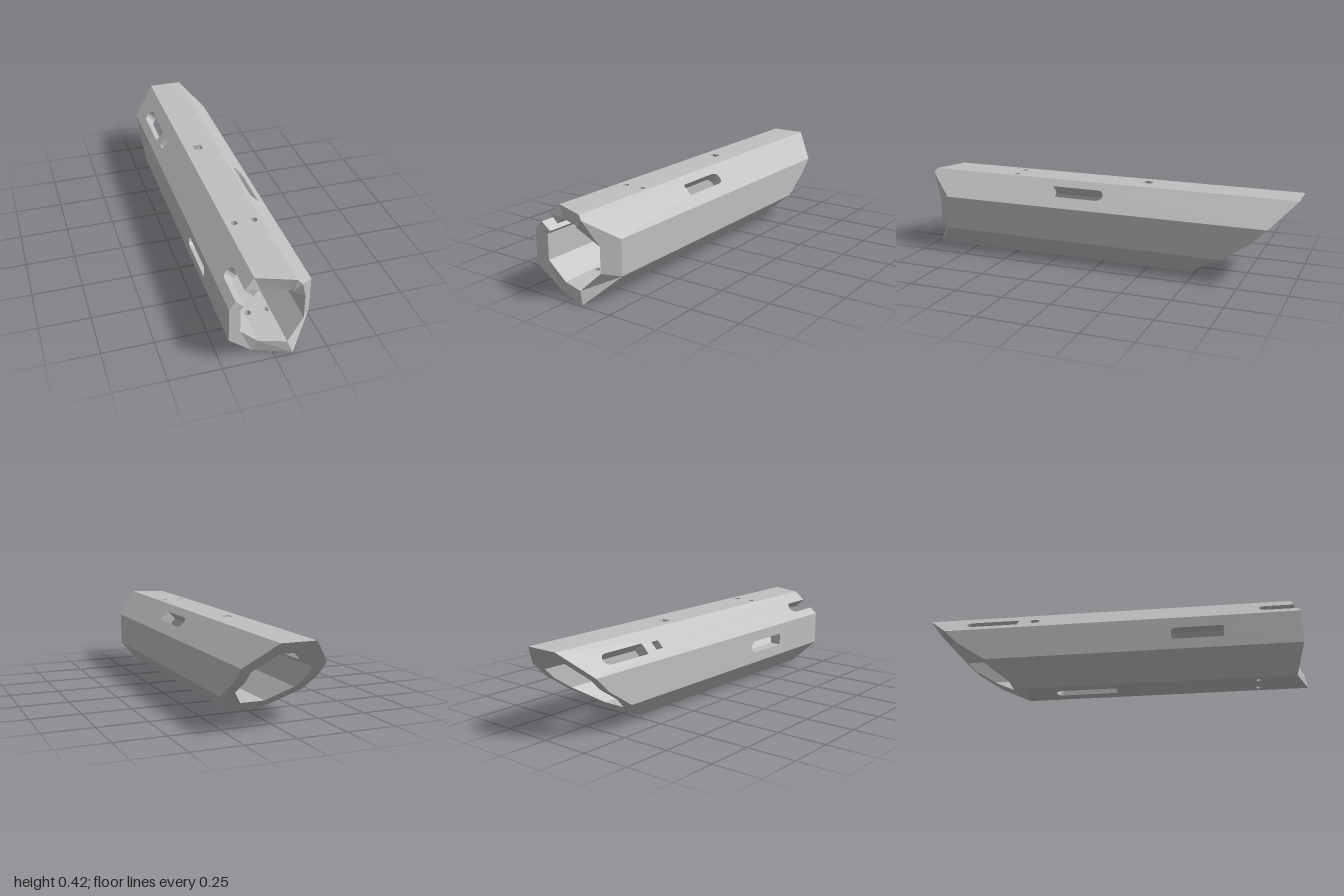
import * as THREE from 'three';

const AP = 0.21, WALL = 0.058;                    // outer apothem, wall thickness
const H = AP * Math.tan(Math.PI / 8);             // half width of an outer facet
const HI = (AP - WALL) * Math.tan(Math.PI / 8);   // half width of an inner facet

// front end heights at the eight corners, counter-clockwise from upper right
const FRONT_OUT = [0.86, 0.99, 0.925, 0.96, 0.96, 0.925, 0.99, 0.86];
const FRONT_IN = [0.937, 0.98, 0.935, 0.944, 0.944, 0.935, 0.975, 0.937];

// sloping rear cut made of two planes
const rearZ = (y) => (y < 0.22 ? -0.47 - 1.5 * y : -0.8 - (y - 0.22));
const lerp = THREE.MathUtils.lerp;

// slot outline: flat at the front, rounded at the rear
function slot(u, front, rear, r = 0.031) {
  const pts = [[u + r, front]];
  for (let i = 0; i <= 6; i++) {
    const a = (i / 6) * Math.PI;
    pts.push([u + r * Math.cos(a), rear + r - r * Math.sin(a)]);
  }
  pts.push([u - r, front]);
  return pts;
}
const square = (u, z, r = 0.023) => [[u - r, z - r], [u + r, z - r], [u + r, z + r], [u - r, z + r]];
const circle = (u, z, r = 0.016) => Array.from({ length: 12 }, (_, i) => {
  const a = (i / 12) * Math.PI * 2;
  return [u + r * Math.cos(a), z + r * Math.sin(a)];
});

// facets counter-clockwise, starting on the right (+x) side
const FACETS = [
  { name: 'rightWall' },
  { name: 'upperRightWall', holes: [slot(0.01, 0.27, -0.017)], ridge: [0.058, 1.0] },
  { name: 'topWall', holes: [square(0.018, -0.207), circle(0.045, 0.515), circle(-0.053, 0.515)] },
  { name: 'upperLeftWall', holes: [slot(0.01, -0.5, -0.78), square(0.008, -0.412)], notch: [0.01, 0.755] },
  { name: 'leftWall', holes: [slot(0, 0.573, 0.3)] },
  { name: 'lowerLeftWall' },
  { name: 'bottomWall', holes: [slot(0, 0.007, -0.31), circle(0.05, 0.74), circle(-0.047, 0.74)] },
  { name: 'lowerRightWall' },
];

function wallGeometry(k, { holes = [], notch, ridge }) {
  const angle = (k * Math.PI) / 4, c = Math.cos(angle), s = Math.sin(angle);
  const a = (k + 7) % 8;
  const yAt = (u, r) => AP + s * r + c * u;
  const frontOut = (u) => lerp(FRONT_OUT[a], FRONT_OUT[k], (u + H) / (2 * H));
  const frontIn = (u) => lerp(FRONT_IN[a], FRONT_IN[k], (u + HI) / (2 * HI));

  // outline of the outer face, u across and z along the tube
  const rear = [[-H, rearZ(yAt(-H, AP))]];
  if (k % 4 === 0) rear.push([c * 0.01, rearZ(0.22)]);
  rear.push([H, rearZ(yAt(H, AP))]);
  const front = [[H, FRONT_OUT[k]]];
  if (ridge) front.push(ridge);
  if (notch) {
    const [u, z] = notch;
    const cut = slot(u, 0, z);
    cut[0][1] = frontOut(cut[0][0]);
    cut[cut.length - 1][1] = frontOut(cut[cut.length - 1][0]);
    front.push(...cut);
  }
  front.push([-H, FRONT_OUT[a]]);

  const toVec = (p) => new THREE.Vector2(p[0], p[1]);
  const shape = new THREE.Shape([...rear, ...front].map(toVec));
  holes.forEach((h) => shape.holes.push(new THREE.Path(h.map(toVec))));
  const geo = new THREE.ExtrudeGeometry(shape, { depth: 1, bevelEnabled: false, steps: 1 });

  // fold the panel onto its facet, mitring its sides and ends on the inner layer
  const pos = geo.attributes.position;
  for (let i = 0; i < pos.count; i++) {
    let u = pos.getX(i), z = pos.getY(i);
    const outer = pos.getZ(i) > 0.5;
    const r = outer ? AP : AP - WALL;
    if (!outer) {
      const atRear = Math.abs(z - rearZ(yAt(u, AP))) < 1e-4;
      const atRidge = ridge && Math.abs(z - ridge[1]) < 1e-4;
      const atFront = Math.abs(z - frontOut(u)) < 1e-4;
      if (Math.abs(u) > H - 1e-4) u = Math.sign(u) * HI;
      if (atRear) z = rearZ(yAt(u, r));
      else if (atRidge) z = ridge[1] - 0.012;
      else if (atFront) z = frontIn(u);
    }
    pos.setXYZ(i, c * r - s * u, yAt(u, r), z);
  }
  geo.computeVertexNormals();
  return geo;
}

export function createModel() {
  const metal = new THREE.MeshStandardMaterial({ color: 0xc0c0c0 });
  metal.name = 'plain grey';
  const group = new THREE.Group();
  group.name = 'octagonalTube';
  FACETS.forEach((facet, k) => {
    const mesh = new THREE.Mesh(wallGeometry(k, facet), metal);
    mesh.name = facet.name;
    group.add(mesh);
  });
  return group;
}
